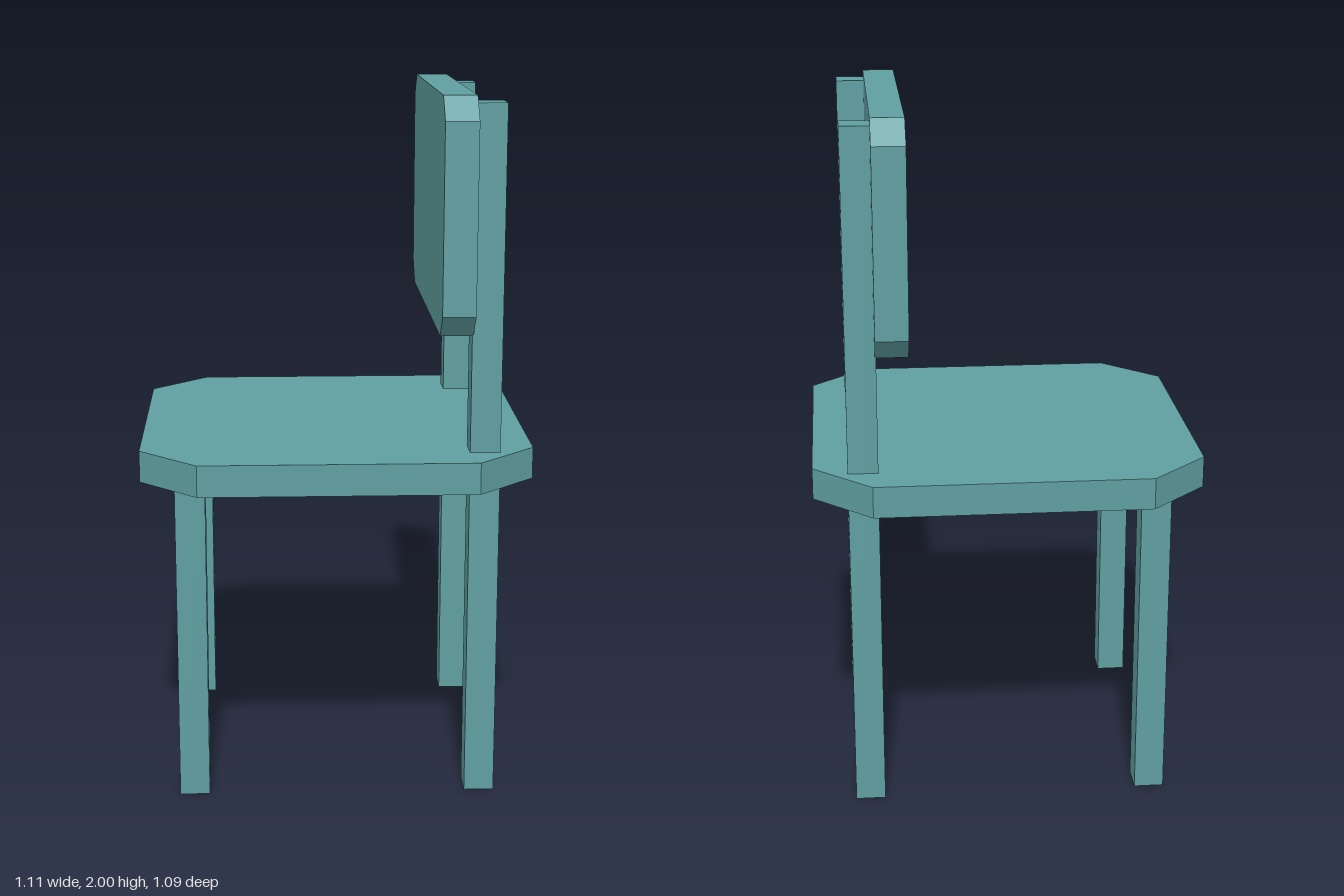
import * as THREE from 'three';

const material = new THREE.MeshStandardMaterial({ color: 0x5f9ea0, flatShading: true });

// Flat board with its four corners cut off, centred in its own plane
function choppedBoard(halfW, halfH, cutW, cutH, depth) {
  const w = halfW - cutW, h = halfH - cutH;
  const outline = new THREE.Shape([
    [w, -halfH], [halfW, -h], [halfW, h], [w, halfH],
    [-w, halfH], [-halfW, h], [-halfW, -h], [-w, -halfH],
  ].map(([x, y]) => new THREE.Vector2(x, y)));
  return new THREE.ExtrudeGeometry(outline, { depth, bevelEnabled: false });
}

export function createModel() {
  const chair = new THREE.Group();
  chair.name = 'chair';
  const add = (name, geometry, x, y, z) => {
    const mesh = new THREE.Mesh(geometry, material);
    mesh.name = name;
    mesh.position.set(x, y, z);
    chair.add(mesh);
  };

  // Seat: lies flat, extruded upwards
  add('seat', choppedBoard(0.553, 0.543, 0.165, 0.162, 0.09).rotateX(-Math.PI / 2), 0, 0.927, 0);

  // Backrest: stands on the +x side, extruded along x
  add('backrest', choppedBoard(0.493, 0.326, 0.064, 0.064, 0.092).rotateY(Math.PI / 2), 0.281, 1.674, 0);

  // Short legs under the seat, tall posts carrying the backrest
  const legSize = 0.085, legOffset = 0.412, legZ = 0.391;
  for (const side of [-1, 1]) {
    add('shortLeg', new THREE.BoxGeometry(legSize, 0.94, legSize), -legOffset, 0.47, side * legZ);
    add('backPost', new THREE.BoxGeometry(legSize, 1.98, legSize), legOffset, 0.99, side * legZ);
  }
  return chair;
}
